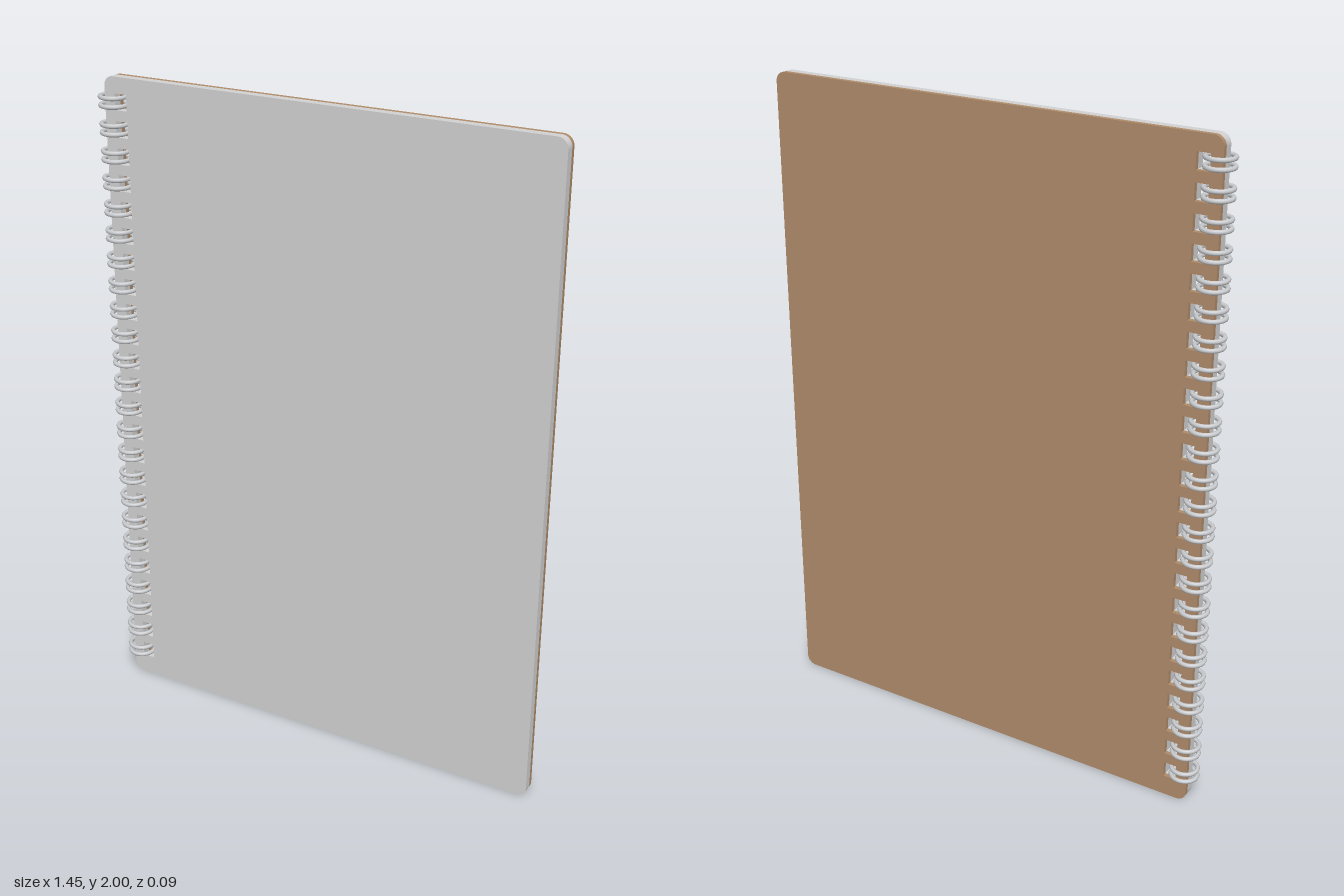
import * as THREE from 'three';

const LEFT = -0.70, RIGHT = 0.72, HEIGHT = 2, CORNER = 0.03;
const RINGS = 24, FIRST_Y = 0.0875, PITCH = 0.08;
const RING_X = -0.68, RING_RADIUS = 0.039, WIRE = 0.0068;
const HOLE_LEFT = -0.665, HOLE_RIGHT = -0.625, HOLE_HEIGHT = 0.048;

// Rounded sheet outline with a column of binding holes
function sheetShape() {
  const s = new THREE.Shape(), r = CORNER;
  s.moveTo(LEFT + r, 0);
  s.lineTo(RIGHT - r, 0);
  s.absarc(RIGHT - r, r, r, -Math.PI / 2, 0);
  s.lineTo(RIGHT, HEIGHT - r);
  s.absarc(RIGHT - r, HEIGHT - r, r, 0, Math.PI / 2);
  s.lineTo(LEFT + r, HEIGHT);
  s.absarc(LEFT + r, HEIGHT - r, r, Math.PI / 2, Math.PI);
  s.lineTo(LEFT, r);
  s.absarc(LEFT + r, r, r, Math.PI, Math.PI * 1.5);
  for (let i = 0; i < RINGS; i++) {
    const y0 = FIRST_Y + i * PITCH - HOLE_HEIGHT / 2, y1 = y0 + HOLE_HEIGHT;
    const hole = new THREE.Path();
    hole.moveTo(HOLE_LEFT, y0);
    hole.lineTo(HOLE_LEFT, y1);
    hole.lineTo(HOLE_RIGHT, y1);
    hole.lineTo(HOLE_RIGHT, y0);
    hole.closePath();
    s.holes.push(hole);
  }
  return s;
}

function sheet(name, zBack, zFront, material) {
  const geometry = new THREE.ExtrudeGeometry(sheetShape(), {
    depth: zFront - zBack, bevelEnabled: false, curveSegments: 6,
  });
  geometry.translate(0, 0, zBack);
  const mesh = new THREE.Mesh(geometry, material);
  mesh.name = name;
  return mesh;
}

export function createModel() {
  const paper = new THREE.MeshStandardMaterial({ color: 0xd2d2d2 });
  paper.name = 'pale grey paper';
  const kraft = new THREE.MeshStandardMaterial({ color: 0xb08c6a });
  kraft.name = 'brown card';
  const metal = new THREE.MeshStandardMaterial({ color: 0xcacccf });
  metal.name = 'silver wire';

  const notebook = new THREE.Group();
  notebook.name = 'notebook';

  // Page block in front of the card back cover
  notebook.add(sheet('pages', -0.012, 0.0145, paper));
  notebook.add(sheet('backCover', -0.026, -0.012, kraft));

  // Twin-wire binding: a pair of loops through every hole
  const binding = new THREE.Group();
  binding.name = 'wireBinding';
  const loop = new THREE.TorusGeometry(RING_RADIUS, WIRE, 8, 28);
  loop.rotateX(Math.PI / 2);
  for (let i = 0; i < RINGS; i++) {
    for (const side of [-1, 1]) {
      const wire = new THREE.Mesh(loop, metal);
      wire.name = 'wireLoop';
      wire.position.set(RING_X, FIRST_Y + i * PITCH + side * 0.0125, 0);
      binding.add(wire);
    }
  }
  notebook.add(binding);
  return notebook;
}
